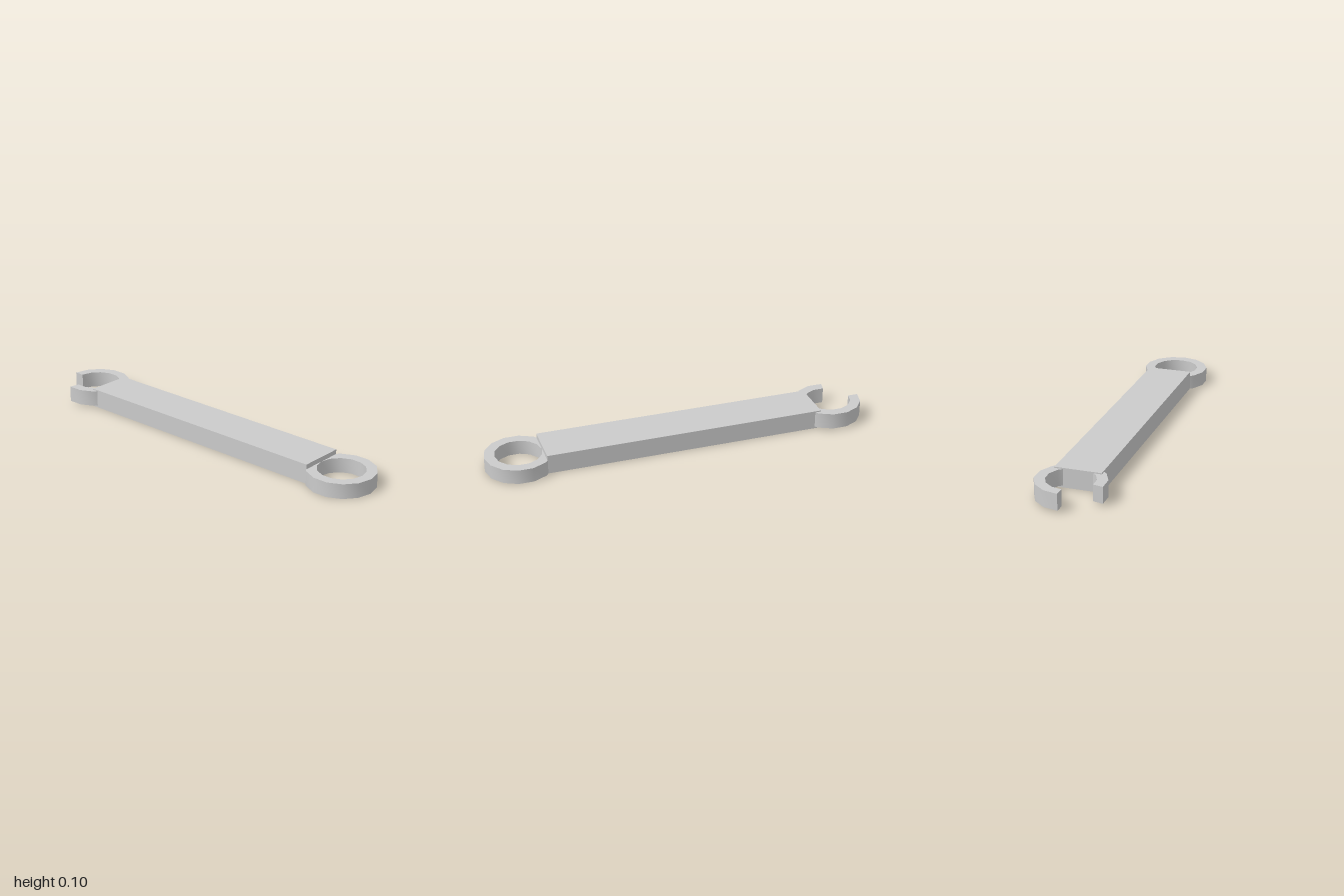
import * as THREE from 'three';
import { toCreasedNormals } from 'three/addons/utils/BufferGeometryUtils.js';

const SIDES = 14, OUTER = 0.171, INNER = 0.119, CENTRE = 0.829;

// Points along a 14-sided circle, starting at the back and running towards +x
function arc(radius, segments) {
  return Array.from({ length: segments + 1 }, (_, i) => {
    const a = (i / SIDES) * Math.PI * 2;
    return new THREE.Vector2(Math.sin(a) * radius, Math.cos(a) * radius);
  });
}

export function createModel() {
  const group = new THREE.Group();
  const material = new THREE.MeshStandardMaterial({ color: 0xcccccc });

  // Extrudes a plan outline upwards from y = bottom to y = top
  function addPlate(name, shape, bottom, top, z) {
    const solid = new THREE.ExtrudeGeometry(shape, { depth: top - bottom, bevelEnabled: false });
    solid.rotateX(-Math.PI / 2);
    const mesh = new THREE.Mesh(toCreasedNormals(solid, 0.6), material);
    mesh.name = name;
    mesh.position.set(0, bottom, z);
    group.add(mesh);
  }

  // Closed ring at the front end; the hole winds opposite to the outline
  const ring = new THREE.Shape(arc(OUTER, SIDES - 1));
  ring.holes.push(new THREE.Path(arc(INNER, SIDES - 1).reverse()));
  addPlate('ringEnd', ring, 0, 0.075, CENTRE);

  // Open jaw at the back end: the same ring with three sides left out
  const jaw = new THREE.Shape([...arc(OUTER, SIDES - 3), ...arc(INNER, SIDES - 3).reverse()]);
  addPlate('openJaw', jaw, 0.01, 0.093, -CENTRE);

  // Flat handle between the two ends
  const back = -0.74, front = 0.71, height = 0.099;
  const handle = new THREE.Mesh(new THREE.BoxGeometry(0.233, height, front - back), material);
  handle.name = 'handle';
  handle.position.set(0, height / 2, (front + back) / 2);
  group.add(handle);

  return group;
}
